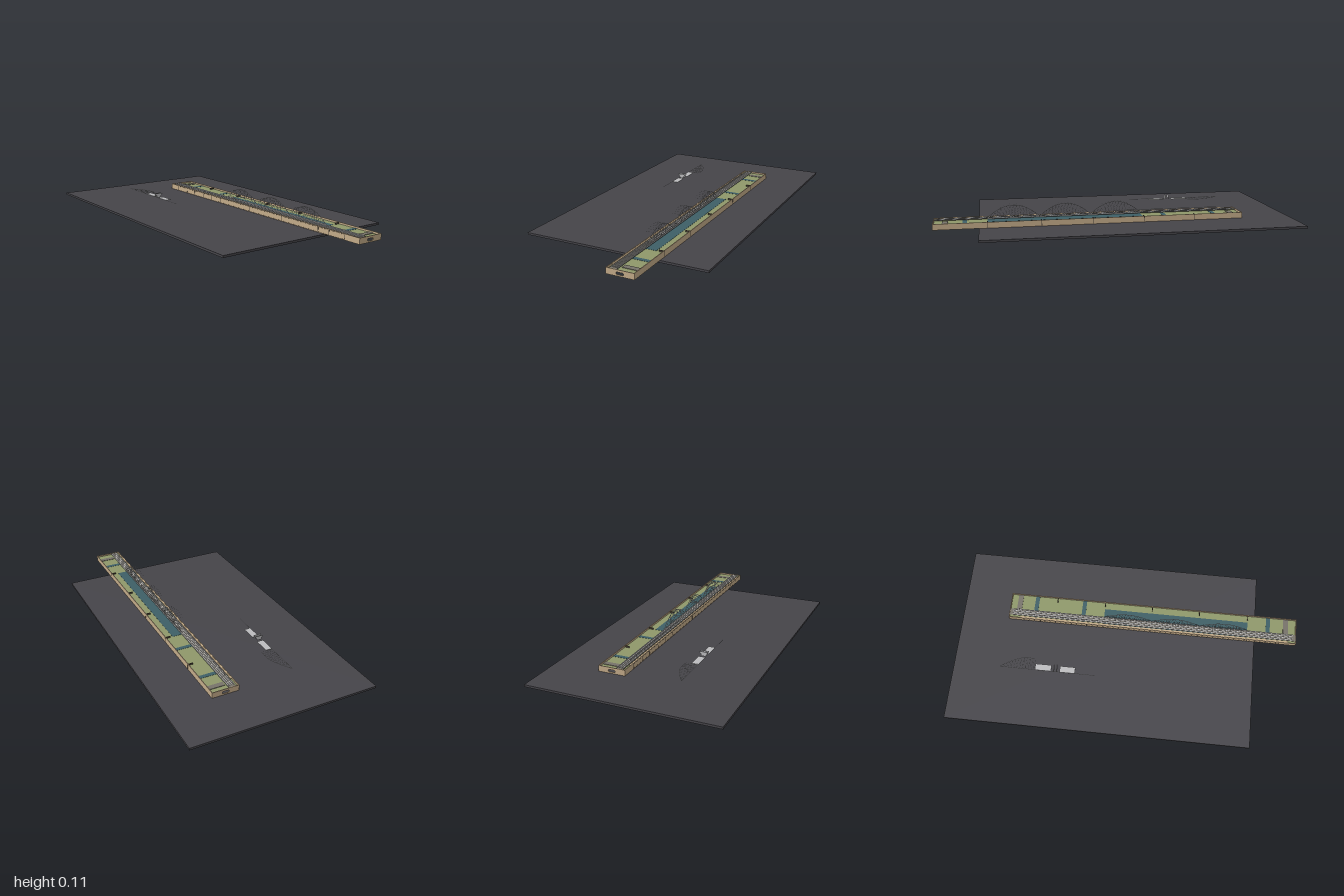
import * as THREE from 'three';

const mat = (name, color, side = THREE.FrontSide) => {
  const m = new THREE.MeshStandardMaterial({ color, side });
  m.name = name;
  return m;
};

export function createModel() {
  const root = new THREE.Group();
  root.name = 'bridgeDiorama';
  const slate = mat('slate base', 0x454449);
  const tan = mat('tan wood', 0xc2aa88);
  const grass = mat('grass', 0x8f986a);
  const water = mat('water', 0x3e5f66);
  const road = mat('road', 0x77736a);
  const steel = mat('pale steel', 0xbcbcbe, THREE.DoubleSide);
  const seam = mat('seam', 0x4c4338);

  const group = (name) => {
    const g = new THREE.Group();
    g.name = name;
    root.add(g);
    return g;
  };
  // Box given by its limits on each axis
  const box = (name, m, x0, x1, y0, y1, z0, z1, parent = root) => {
    const mesh = new THREE.Mesh(new THREE.BoxGeometry(x1 - x0, y1 - y0, z1 - z0), m);
    mesh.position.set((x0 + x1) / 2, (y0 + y1) / 2, (z0 + z1) / 2);
    mesh.name = name;
    parent.add(mesh);
  };
  const up = new THREE.Vector3(0, 1, 0);
  // Thin round bar between two points
  const bar = (name, a, b, r, parent) => {
    const d = b.clone().sub(a);
    const mesh = new THREE.Mesh(new THREE.CylinderGeometry(r, r, d.length(), 5), steel);
    mesh.position.copy(a).addScaledVector(d, 0.5);
    mesh.quaternion.setFromUnitVectors(up, d.normalize());
    mesh.name = name;
    parent.add(mesh);
  };
  const V = (x, y, z) => new THREE.Vector3(x, y, z);

  // Ground board
  box('baseBoard', slate, -1, 0.757, 0, 0.012, -0.53, 0.53);

  // Open-bottomed tray
  const X0 = -0.72, X1 = 1, Z0 = -0.27, Z1 = -0.115, TOP = 0.045, LOW = 0.012, T = 0.004;
  const tray = group('tray');
  box('frontWall', tan, X0, X1, LOW, TOP, Z1 - T, Z1, tray);
  box('backWall', tan, X0, X1, LOW, TOP, Z0, Z0 + T, tray);

  // End walls with a rounded hand slot
  const end = new THREE.Shape();
  end.moveTo(-Z1, LOW);
  end.lineTo(-Z0, LOW);
  end.lineTo(-Z0, TOP);
  end.lineTo(-Z1, TOP);
  end.closePath();
  const slot = new THREE.Path();
  slot.absarc(0.178, 0.0265, 0.0065, Math.PI / 2, Math.PI * 1.5);
  slot.absarc(0.206, 0.0265, 0.0065, -Math.PI / 2, Math.PI / 2);
  slot.closePath();
  end.holes.push(slot);
  const endGeo = new THREE.ExtrudeGeometry(end, { depth: T, bevelEnabled: false });
  endGeo.rotateY(Math.PI / 2);
  for (const x of [X0, X1 - T]) {
    const wall = new THREE.Mesh(endGeo, tan);
    wall.position.x = x;
    wall.name = 'endWall';
    tray.add(wall);
  }

  // Panel seams on the long walls
  const seams = group('panelSeams');
  const seamX = [-0.63, -0.53, -0.44, -0.34, -0.25, -0.15, 0.135, 0.42, 0.71, 0.79, 0.9];
  for (const x of seamX) box('frontSeam', seam, x - 0.002, x + 0.002, 0.015, 0.041, Z1, Z1 + 0.0006, seams);
  for (const y of [0.015, 0.04]) box('frontSeamLine', seam, -0.63, 0.9, y, y + 0.001, Z1, Z1 + 0.0006, seams);
  for (const x of [-0.44, -0.15, 0.135, 0.42, 0.71]) {
    box('backSeam', seam, x - 0.0015, x + 0.0015, 0.015, TOP, Z0 - 0.0006, Z0, seams);
    box('innerRib', seam, x - 0.002, x + 0.002, 0.033, 0.044, Z0 + T, Z0 + 0.03, seams);
  }

  // Sunken landscape
  const land = group('landscape');
  box('ground', tan, X0 + T, X1 - T, 0.031, 0.033, Z0 + T, Z1 - T, land);
  box('meadow', grass, X0 + T, X1 - T, 0.033, 0.035, Z0 + T, Z1 - T, land);
  box('river', water, -0.15, 0.71, 0.035, 0.036, -0.225, -0.125, land);
  for (const x of [-0.563, -0.275, 0.832]) box('stream', water, x - 0.012, x + 0.012, 0.035, 0.036, Z0 + T, -0.125, land);
  for (const x of [-0.665, 0.937]) box('road', road, x - 0.015, x + 0.015, 0.035, 0.0375, Z0 + T, -0.175, land);

  // Railway deck with rails and walkway edge
  const deck = group('railwayDeck');
  box('deckSlab', road, X0 + T, X1 - T, 0.04, 0.043, -0.171, -0.131, deck);
  box('walkway', tan, -0.65, 0.95, 0.04, 0.043, -0.127, Z1 - T, deck);
  for (const z of [-0.169, -0.158, -0.147, -0.136]) box('rail', steel, -0.7, 0.98, 0.043, 0.0455, z - 0.002, z + 0.002, deck);

  // Thin handrail leading up to the spans
  const handrail = group('handrail');
  box('handrailTop', steel, -0.61, 0, 0.054, 0.056, -0.141, -0.138, handrail);
  for (let i = 0; i <= 20; i++) {
    const x = -0.61 + i * 0.0305;
    bar('handrailPost', V(x, 0.044, -0.14), V(x, 0.055, -0.14), 0.0007, handrail);
  }

  // Three bowstring spans: curved chord, crossing hangers and top braces
  const ZA = -0.169, ZB = -0.126, N = 16;
  const span = (cx) => {
    const g = group('archSpan');
    const rise = (u) => 0.047 + 0.066 * (1 - u * u);
    const pts = [];
    for (let i = 0; i <= N; i++) {
      const u = (i / N) * 2 - 1;
      pts.push(V(cx + u * 0.142, rise(u), ZA));
    }
    const chord = new THREE.Mesh(new THREE.TubeGeometry(new THREE.CatmullRomCurve3(pts), 32, 0.0016, 6), steel);
    chord.name = 'archChord';
    g.add(chord);
    bar('tieBeam', V(cx - 0.142, 0.047, ZA), V(cx + 0.142, 0.047, ZA), 0.0016, g);
    for (let i = 1; i < N; i++) {
      const p = pts[i];
      for (const s of [-1, 1]) {
        const foot = cx + (p.x - cx) * 0.8 + s * 0.014;
        bar('hanger', p, V(foot, 0.047, ZA), 0.0006, g);
      }
      if (p.y > 0.093) bar('topBrace', p, V(p.x, p.y, ZB), 0.0007, g);
    }
  };
  [-0.004, 0.28, 0.568].forEach(span);

  // Loose bridge kit: flat half arch, two plates, cross frames and a rod
  const kit = group('bridgeKit');
  const KY = 0.0465;
  const arc = (t) => V(-0.72 + 0.2 * t, KY, 0.2 - 0.068 * Math.sin(t * Math.PI * 0.62));
  for (let i = 0; i < 12; i++) {
    const a = arc(i / 12), b = arc((i + 1) / 12);
    bar('flatChord', a, b, 0.0013, kit);
    bar('flatHanger', b, V(b.x, KY, 0.2), 0.0006, kit);
    bar('flatDiagonal', a, V(b.x, KY, 0.2), 0.0006, kit);
  }
  bar('flatTie', V(-0.72, KY, 0.202), V(-0.16, KY, 0.202), 0.0013, kit);
  for (const [a, b] of [[-0.515, -0.42], [-0.37, -0.28]]) box('flatPlate', steel, a, b, 0.045, 0.048, 0.165, 0.203, kit);

  const frame = new THREE.Shape();
  [[0.174, 0.045], [0.2, 0.045], [0.203, 0.058], [0.21, 0.065], [0.21, 0.07], [0.163, 0.07], [0.163, 0.065], [0.171, 0.058]]
    .forEach(([z, y], i) => (i ? frame.lineTo(-z, y) : frame.moveTo(-z, y)));
  frame.closePath();
  const frameGeo = new THREE.ExtrudeGeometry(frame, { depth: 0.003, bevelEnabled: false });
  frameGeo.rotateY(Math.PI / 2);
  for (const x of [-0.405, -0.388]) {
    const f = new THREE.Mesh(frameGeo, steel);
    f.position.x = x;
    f.name = 'crossFrame';
    kit.add(f);
  }
  return root;
}
